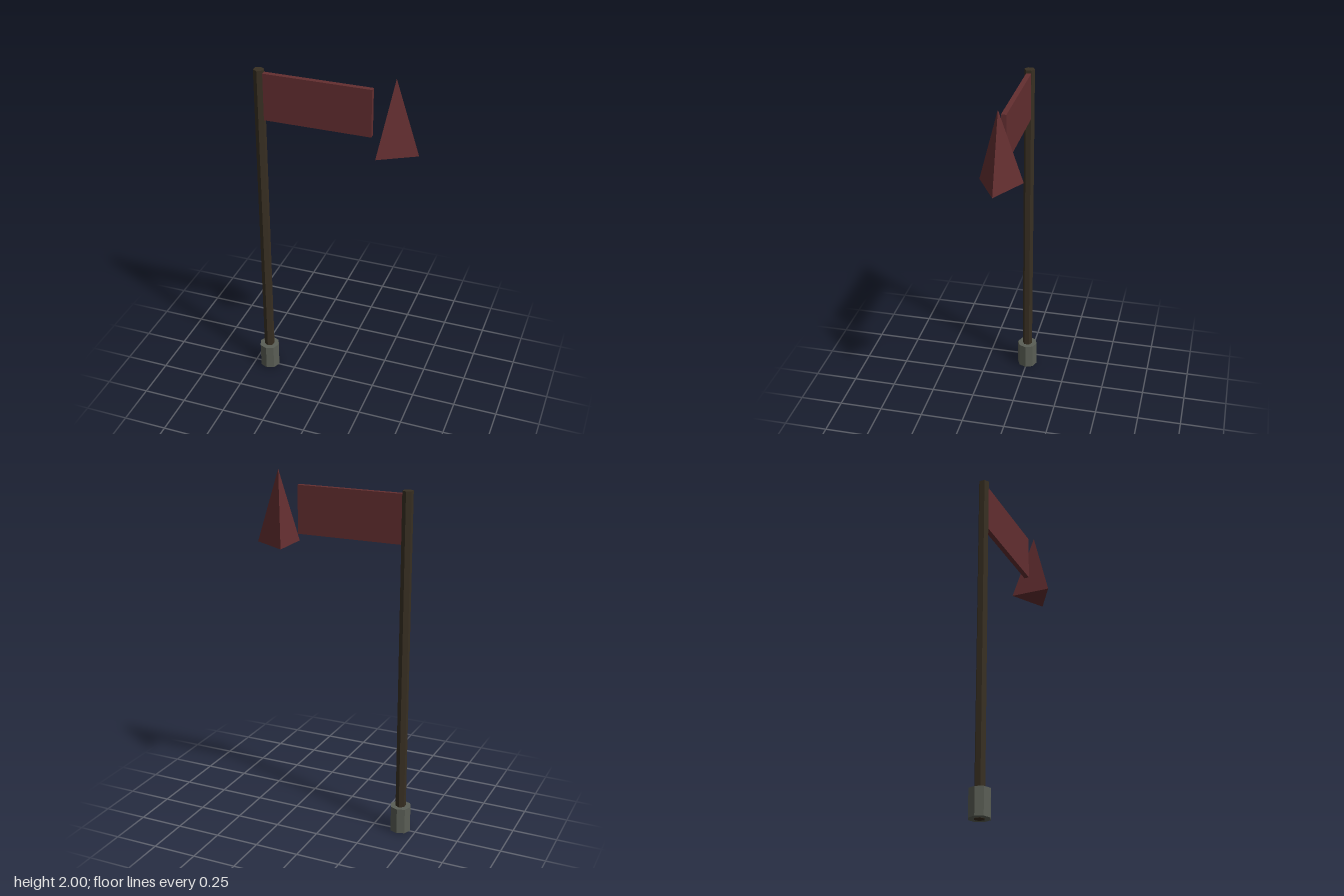
import * as THREE from 'three';

export function createModel() {
  const model = new THREE.Group();
  model.name = 'signpost';

  const material = (name, color) => {
    const m = new THREE.MeshStandardMaterial({ color, flatShading: true });
    m.name = name;
    return m;
  };
  const stone = material('grey stone', 0x5a5e55);
  const wood = material('dark wood', 0x382f22);
  const red = material('dull red', 0x632e30);

  const add = (name, geometry, mat, x, y) => {
    const mesh = new THREE.Mesh(geometry, mat);
    mesh.name = name;
    mesh.position.set(x, y, 0);
    model.add(mesh);
    return mesh;
  };

  const poleX = -0.409;

  // Octagonal foot, with the hexagonal pole running through to the ground
  add('foot', new THREE.CylinderGeometry(0.059, 0.059, 0.149, 8), stone, poleX, 0.0765);
  add('pole', new THREE.CylinderGeometry(0.0295, 0.0295, 1.943, 6), wood, poleX, 0.9715);

  // Thin board attached to the side of the pole
  add('board', new THREE.BoxGeometry(0.597, 0.266, 0.028), red, -0.085, 1.793);

  // Separate three-sided pointer, one corner facing away from the board
  const pointer = new THREE.ConeGeometry(0.133, 0.41, 3);
  pointer.rotateY(Math.PI / 2);
  add('pointer', pointer, red, 0.335, 1.795);

  return model;
}
